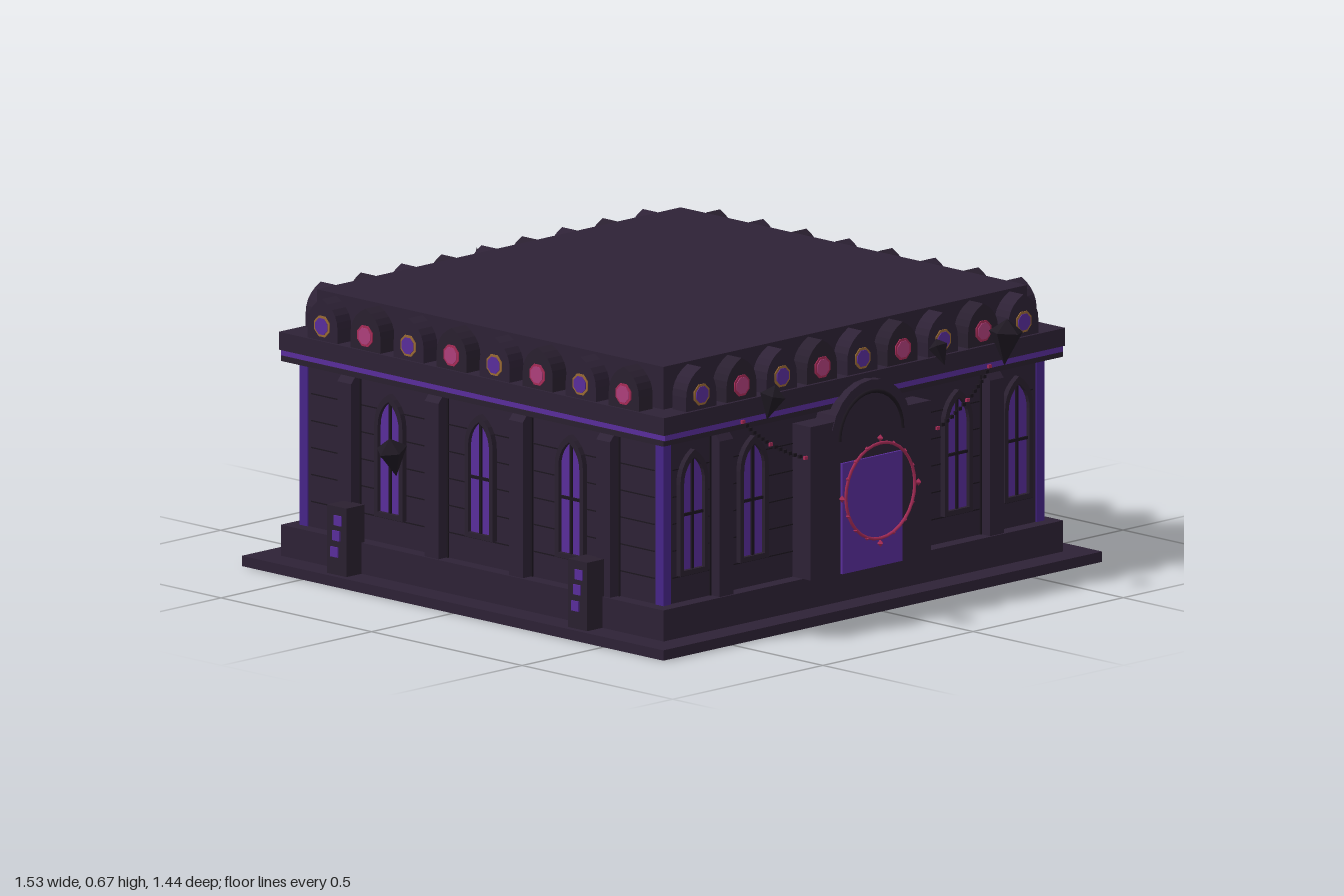
import * as THREE from 'three';

const mat = (name, color, extra = {}) => {
  const m = new THREE.MeshStandardMaterial({ color, ...extra });
  m.name = name;
  return m;
};

export function createModel() {
  const stone = mat('stone', 0x2e2236);
  const trim = mat('trim stone', 0x2a2030);
  const dark = mat('dark stone', 0x1c161f);
  const purple = mat('glowing purple', 0x5a2d9c);
  const violet = mat('violet line', 0x47258a);
  const pink = mat('pink', 0xa82c58);
  const rose = mat('rose gem', 0xb0407c);
  const gold = mat('gold', 0x9a6a35);

  const model = new THREE.Group();
  model.name = 'gothicHall';

  const add = (parent, name, geo, material, x = 0, y = 0, z = 0) => {
    const m = new THREE.Mesh(geo, material);
    m.name = name;
    m.position.set(x, y, z);
    parent.add(m);
    return m;
  };
  // Box given by its centre x and z, and its bottom and top
  const box = (parent, name, material, x, z, w, d, y0, y1) =>
    add(parent, name, new THREE.BoxGeometry(w, y1 - y0, d), material, x, (y0 + y1) / 2, z);
  // Pointed arch plate, standing on its own y = 0
  const archShape = (w, h, spring) => {
    const s = new THREE.Shape();
    s.moveTo(-w / 2, 0);
    s.lineTo(w / 2, 0);
    s.lineTo(w / 2, spring);
    s.quadraticCurveTo(w / 2, spring + (h - spring) * 0.65, 0, h);
    s.quadraticCurveTo(-w / 2, spring + (h - spring) * 0.65, -w / 2, spring);
    return s;
  };
  const extrude = (shape, depth) =>
    new THREE.ExtrudeGeometry(shape, { depth, bevelEnabled: false, curveSegments: 5 });

  // Main masses
  box(model, 'basePlate', stone, 0, 0, 1.46, 1.4, 0, 0.025);
  box(model, 'plinth', stone, 0, 0, 1.33, 1.27, 0.025, 0.1);
  box(model, 'walls', stone, 0, 0, 1.26, 1.2, 0.1, 0.505);
  box(model, 'glowBand', purple, 0, 0, 1.325, 1.275, 0.508, 0.522);
  box(model, 'corniceLower', trim, 0, 0, 1.33, 1.27, 0.495, 0.508);
  box(model, 'cornice', stone, 0, 0, 1.335, 1.28, 0.522, 0.565);
  box(model, 'roofBlock', stone, 0, 0, 1.21, 1.15, 0.565, 0.668);
  for (const sx of [-1, 1]) for (const sz of [-1, 1])
    box(model, 'cornerGlow', violet, sx * 0.621, sz * 0.591, 0.026, 0.026, 0.1, 0.5);

  // Tall lancet window with frame, mullion and cross bar
  const addWindow = (parent, x, z) => {
    const g = new THREE.Group();
    g.name = 'window';
    g.position.set(x, 0.165, z);
    const frame = archShape(0.094, 0.3, 0.22);
    const hole = archShape(0.07, 0.27, 0.205).getPoints(5).map(p => p.add(new THREE.Vector2(0, 0.012)));
    frame.holes.push(new THREE.Path(hole));
    add(g, 'windowFrame', extrude(frame, 0.014), trim);
    add(g, 'windowGlass', extrude(archShape(0.076, 0.278, 0.21), 0.004), purple, 0, 0.006, 0);
    box(g, 'mullion', dark, 0, 0.006, 0.007, 0.006, 0.01, 0.28);
    box(g, 'crossBar', dark, 0, 0.006, 0.07, 0.006, 0.142, 0.149);
    parent.add(g);
  };

  // Pilaster with a sloping top
  const addPilaster = (parent, x, z) => {
    const s = new THREE.Shape([[-0.01, 0.1], [0.03, 0.1], [0.03, 0.475], [0.008, 0.5], [-0.01, 0.5]]
      .map(p => new THREE.Vector2(...p)));
    const m = add(parent, 'pilaster', extrude(s, 0.046), stone, x + 0.023, 0, z);
    m.rotation.y = -Math.PI / 2;
    box(parent, 'pilasterShadow', dark, x, z + 0.002, 0.056, 0.004, 0.1, 0.495);
  };

  // Parapet gable with a framed gem
  const addGable = (parent, x, z, i) => {
    add(parent, 'gable', extrude(archShape(0.1, 0.102, 0.035), 0.046), i % 2 ? trim : stone, x, 0.564, z - 0.046);
    const rim = add(parent, 'gemFrame', new THREE.CylinderGeometry(0.027, 0.027, 0.005, 8), i % 2 ? pink : gold, x, 0.6, z);
    const gem = add(parent, 'gem', new THREE.CylinderGeometry(0.021, 0.021, 0.009, 8), i % 2 ? rose : purple, x, 0.6, z);
    for (const m of [rim, gem]) {
      m.geometry.rotateY(Math.PI / 8);
      m.rotation.x = Math.PI / 2;
    }
  };

  // Four facades: local +z points outward, d is the wall distance
  const facades = [
    { name: 'frontFacade', turn: 0, d: 0.6, half: 0.6, n: 9, step: 0.134, wins: [-0.54, -0.34, 0.34, 0.54], pils: [-0.45, 0.45] },
    { name: 'backFacade', turn: Math.PI, d: 0.6, half: 0.6, n: 9, step: 0.134, wins: [-0.32, 0.32], pils: [-0.48, -0.16, 0.16, 0.48] },
    { name: 'leftFacade', turn: Math.PI / 2, d: 0.63, half: 0.57, n: 8, step: 0.143, wins: [-0.3, 0, 0.3], pils: [-0.43, -0.14, 0.14, 0.43] },
    { name: 'rightFacade', turn: -Math.PI / 2, d: 0.63, half: 0.57, n: 8, step: 0.143, wins: [-0.3, 0, 0.3], pils: [-0.43, -0.14, 0.14, 0.43] },
  ];
  for (const f of facades) {
    const g = new THREE.Group();
    g.name = f.name;
    g.rotation.y = f.turn;
    model.add(g);
    for (let y = 0.16; y < 0.48; y += 0.065)
      box(g, 'mortarLine', dark, 0, f.d, f.half * 2, 0.002, y, y + 0.003);
    f.wins.forEach(x => addWindow(g, x, f.d));
    f.pils.forEach(x => addPilaster(g, x, f.d));
    for (let i = 0; i < f.n; i++) addGable(g, (i - (f.n - 1) / 2) * f.step, f.d + 0.032, i);
    // Low lantern posts on the long sides
    if (f.n === 8) for (const x of [-0.4, 0.4]) {
      box(g, 'lanternPost', trim, x, 0.685, 0.064, 0.06, 0.025, 0.19);
      [0.08, 0.12, 0.157].forEach((y, i) =>
        box(g, 'lanternLight', purple, x + (i - 1) * 0.006, 0.716, 0.024, 0.006, y - 0.012, y + 0.012));
    }
  }

  // Entrance portal with an arched hood
  const portal = new THREE.Group();
  portal.name = 'portal';
  model.add(portal);
  box(portal, 'portalSlab', stone, 0, 0.625, 0.4, 0.07, 0.1, 0.47);
  const hood = new THREE.Shape();
  hood.moveTo(-0.13, 0.45);
  hood.lineTo(0.13, 0.45);
  hood.absarc(0, 0.42, 0.133, 0.23, Math.PI - 0.23, false);
  add(portal, 'portalHood', extrude(hood, 0.07), stone, 0, 0, 0.592);
  add(portal, 'hoodMoulding', new THREE.TorusGeometry(0.105, 0.005, 4, 16, Math.PI), dark, 0, 0.42, 0.662);
  box(portal, 'doorGlow', purple, 0, 0.662, 0.2, 0.008, 0.1, 0.367);

  // Floating ring with small studs
  const ring = new THREE.Group();
  ring.name = 'portalRing';
  ring.position.set(0, 0.29, 0.692);
  model.add(ring);
  add(ring, 'ringBand', new THREE.TorusGeometry(0.115, 0.004, 5, 32), pink);
  for (let i = 0; i < 16; i++) {
    const a = i * Math.PI / 8, r = i % 4 ? 0.117 : 0.127;
    add(ring, 'ringStud', new THREE.OctahedronGeometry(i % 4 ? 0.006 : 0.009), pink, r * Math.cos(a), r * Math.sin(a), 0);
  }

  // Beaded chains swinging from the cornice to the portal
  for (const s of [-1, 1]) {
    const curve = new THREE.QuadraticBezierCurve3(
      new THREE.Vector3(s * 0.41, 0.515, 0.645), new THREE.Vector3(s * 0.34, 0.44, 0.655), new THREE.Vector3(s * 0.22, 0.4, 0.663));
    curve.getPoints(14).forEach((p, i) =>
      add(model, 'chainLink', new THREE.BoxGeometry(0.01, 0.008, 0.006), i % 7 ? dark : pink, p.x, p.y, p.z));
  }

  // Half-sunk spire on the back wall
  add(model, 'spireShaft', new THREE.CylinderGeometry(0.046, 0.054, 0.42, 8), stone, 0, 0.21, -0.648);
  add(model, 'spireCap', new THREE.ConeGeometry(0.05, 0.24, 8), trim, 0, 0.54, -0.648);
  add(model, 'spireBand', new THREE.CylinderGeometry(0.052, 0.052, 0.012, 8), purple, 0, 0.345, -0.648);

  // Floating shards: flat crown above, long point below
  const shard = mat('shard', 0x1f1923, { flatShading: true });
  const shards = [[-0.73, 0.35, -0.2, 0.038, 0.3], [0.72, 0.4, 0.32, 0.038, -0.2], [-0.37, 0.57, 0.7, 0.032, 0.2],
    [0.17, 0.605, 0.72, 0.025, -0.3], [0.41, 0.59, 0.7, 0.042, 0.1]];
  for (const [x, y, z, r, tilt] of shards) {
    const profile = [[0, -1.5], [1, 0.4], [0, 1.15]].map(p => new THREE.Vector2(p[0] * r, p[1] * r));
    const m = add(model, 'floatingShard', new THREE.LatheGeometry(profile, 5), shard, x, y, z);
    m.rotation.set(tilt * 0.5, x * 9, tilt);
  }
  return model;
}
